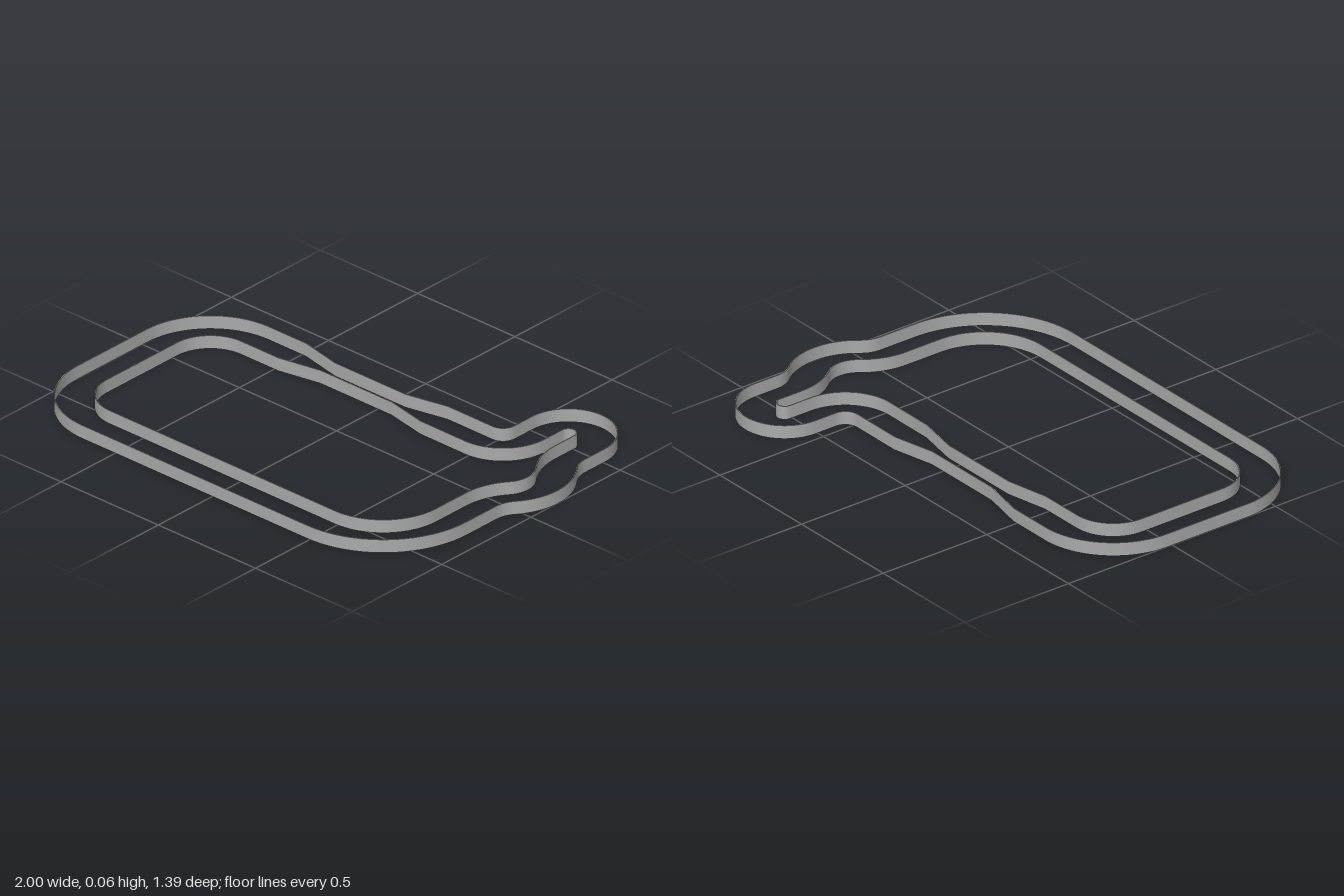
import * as THREE from 'three';
import { toCreasedNormals } from 'three/addons/utils/BufferGeometryUtils.js';

const HEIGHT = 0.056;
const THICK = 0.004;
const TRACK_WIDTH = 0.155;
const BEND = 39; // sweep of the side chicane, in degrees

// Circuit outline, pushed outward by o from the inner edge (plan x, and y = -z)
function outline(o) {
  const pts = [];
  const add = (x, y) => {
    const p = new THREE.Vector2(x, y);
    if (!pts.length || p.distanceTo(pts[pts.length - 1]) > 1e-4) pts.push(p);
  };
  const arc = (cx, cy, r, from, to, steps = 20) => {
    for (let i = 0; i <= steps; i++) {
      const a = THREE.MathUtils.degToRad(from + (to - from) * i / steps);
      add(cx + r * Math.cos(a), cy + r * Math.sin(a));
    }
  };
  const bulgeX = 1.037 - 0.3975 * Math.cos(THREE.MathUtils.degToRad(BEND));

  // Front right corner
  arc(0.485, -0.267, 0.272 + o, -90, 0);
  // Side chicane: in, bulge, out
  arc(1.037, -0.1, 0.28 - o, 180, 180 - BEND, 12);
  arc(bulgeX, 0.15, 0.1175 + o, -BEND, BEND, 16);
  arc(1.037, 0.4, 0.28 - o, 180 + BEND, 180, 12);
  // Hairpin and the corner leading out of it
  arc(0.725, 0.51, 0.032 + o, 0, 180, 32);
  arc(0.48, 0.41, 0.213 - o, 0, -90);
  // Narrowed back straight
  const y = 0.198 + o;
  const neck = y + (o < TRACK_WIDTH / 2 ? 0.036 : -0.039);
  add(0.25, y);
  add(0.07, neck);
  add(-0.297, neck);
  add(-0.48, y);
  // Left corners
  arc(-0.672, 0.025, 0.173 + o, 90, 180);
  arc(-0.672, -0.366, 0.173 + o, 180, 270);
  return pts;
}

// Thin upright wall following the outline
function wall(name, offset, material) {
  const shape = new THREE.Shape(outline(offset + THICK / 2));
  shape.holes.push(new THREE.Path(outline(offset - THICK / 2)));
  let geo = new THREE.ExtrudeGeometry(shape, { depth: HEIGHT, bevelEnabled: false });
  geo.rotateX(-Math.PI / 2);
  // Enlarged while smoothing so the two close faces stay separate
  geo.scale(100, 100, 100);
  geo = toCreasedNormals(geo, 0.6);
  geo.scale(0.01, 0.01, 0.01);
  const mesh = new THREE.Mesh(geo, material);
  mesh.name = name;
  return mesh;
}

export function createModel() {
  const group = new THREE.Group();
  group.name = 'trackWalls';
  const grey = new THREE.MeshStandardMaterial({ color: 0xaaaaaa });
  grey.name = 'wall grey';
  group.add(wall('innerWall', 0, grey), wall('outerWall', TRACK_WIDTH, grey));
  return group;
}
